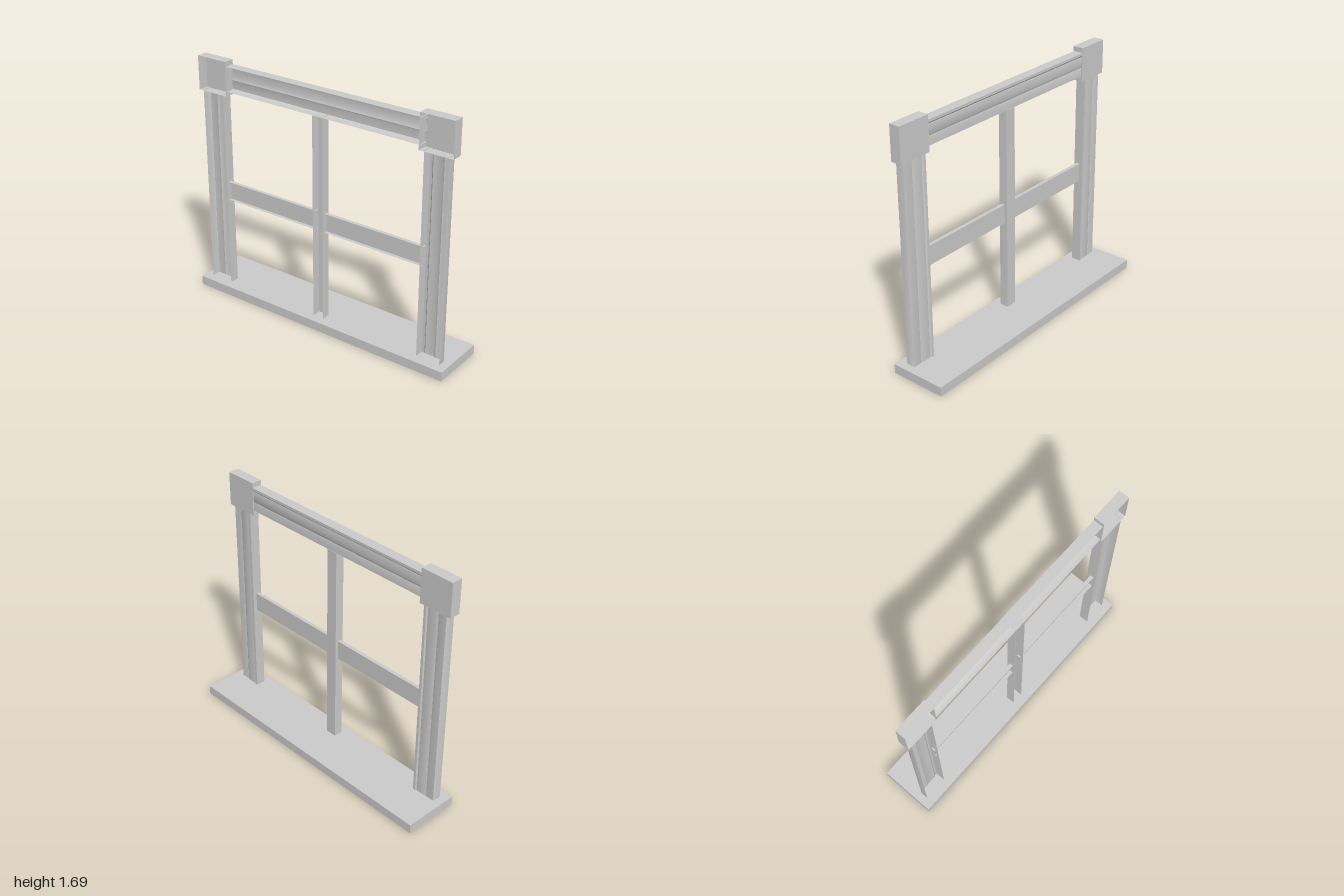
import * as THREE from 'three';
import { toCreasedNormals } from 'three/addons/utils/BufferGeometryUtils.js';

const material = new THREE.MeshStandardMaterial({ color: 0xcccccc, side: THREE.DoubleSide });

const BACK = -0.137;
const CASING_WIDTH = 0.17;

// Moulding section as [across, x], from the thin outer edge to the thick inner edge
const moulding = [
  [0, BACK], [0, -0.083], [0.004, -0.076], [0.055, -0.076], [0.065, -0.079],
  [0.08, -0.073], [0.13, -0.073], [0.143, -0.075], [0.152, -0.068],
  [CASING_WIDTH, -0.068], [CASING_WIDTH, BACK],
];

// Solid box given by its limits
function box(name, [x0, x1], [y0, y1], [z0, z1]) {
  const geo = new THREE.BoxGeometry(x1 - x0, y1 - y0, z1 - z0);
  geo.translate((x0 + x1) / 2, (y0 + y1) / 2, (z0 + z1) / 2);
  const mesh = new THREE.Mesh(geo, material);
  mesh.name = name;
  return mesh;
}

// Box left open at the back (-x)
function openBox(...limits) {
  const mesh = box(...limits);
  const index = Array.from(mesh.geometry.index.array);
  index.splice(6, 6);
  mesh.geometry.setIndex(index);
  mesh.geometry.clearGroups();
  return mesh;
}

// Moulded strip: section runs towards -z, length runs up y from 0
function casingGeometry(section, length) {
  const geo = new THREE.PlaneGeometry(1, 1, section.length - 1, 1);
  const pos = geo.attributes.position;
  for (let i = 0; i < pos.count; i++) {
    const [across, x] = section[i % section.length];
    pos.setXYZ(i, x, pos.getY(i) > 0 ? length : 0, -across);
  }
  return toCreasedNormals(geo, 0.6);
}

export function createModel() {
  const group = new THREE.Group();

  // Sill
  group.add(box('sill', [-0.195, 0.195], [0, 0.065], [-1, 1]));

  // Side casings, mirrored
  const mirrored = moulding.map(([a, x]) => [CASING_WIDTH - a, x]).reverse();
  for (const side of [1, -1]) {
    const geo = casingGeometry(side > 0 ? moulding : mirrored, 1.395);
    geo.translate(0, 0.065, side > 0 ? 0.946 : -0.946 + CASING_WIDTH);
    const post = new THREE.Mesh(geo, material);
    post.name = side > 0 ? 'leftCasing' : 'rightCasing';
    group.add(post);
  }

  // Header casing between the corner blocks
  const headerGeo = casingGeometry(moulding, 1.5);
  headerGeo.rotateX(Math.PI / 2);
  headerGeo.translate(0, 1.487, -0.75);
  const header = new THREE.Mesh(headerGeo, material);
  header.name = 'headerCasing';
  group.add(header);

  // Corner blocks and cross rails on each side of the mullion
  for (const side of [1, -1]) {
    const span = (a, b) => (side > 0 ? [a, b] : [-b, -a]);
    group.add(openBox('cornerBlock', [-0.143, -0.068], [1.456, 1.69], span(0.742, 0.977)));
    group.add(openBox('crossRail', [-0.12, -0.095], [0.7, 0.833], span(0.03, 0.787)));
  }

  // Centre mullion
  group.add(openBox('mullion', [BACK, -0.075], [0.065, 1.49], [-0.04, 0.04]));

  return group;
}
